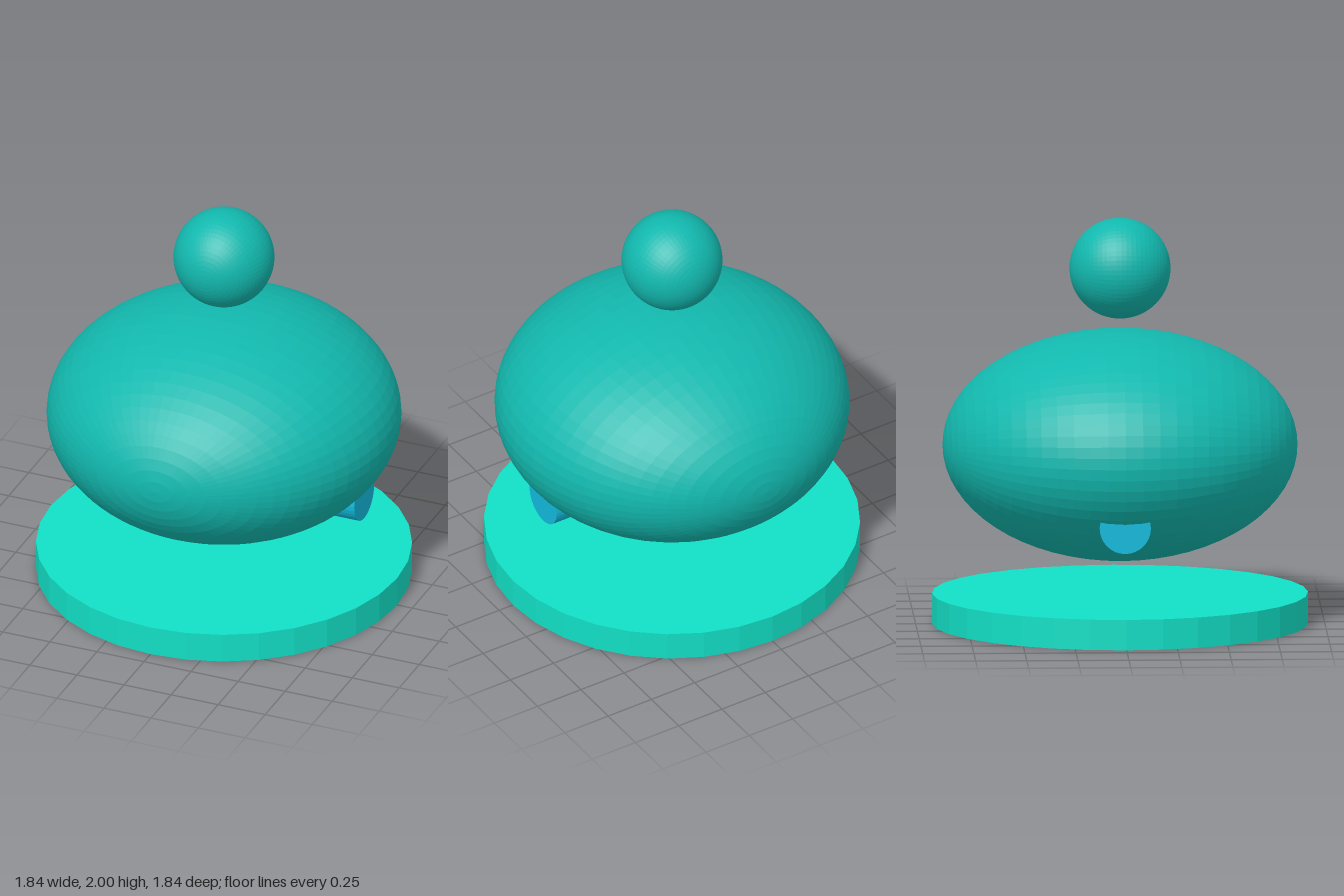
import * as THREE from 'three';

export function createModel() {
  const model = new THREE.Group();
  const flat = (name, color) => {
    const material = new THREE.MeshStandardMaterial({ color, flatShading: true });
    material.name = name;
    return material;
  };
  const teal = flat('teal', 0x12b8ae);
  const brightTeal = flat('bright teal', 0x12dfc5);
  const blue = flat('blue', 0x12bbde);

  const add = (name, geometry, material, y) => {
    const mesh = new THREE.Mesh(geometry, material);
    mesh.name = name;
    mesh.position.y = y;
    model.add(mesh);
  };

  // Ball with its poles on the z axis, squashed to the given radii
  const ball = (rx, ry, rz) => new THREE.SphereGeometry(1, 64, 32).rotateX(Math.PI / 2).scale(rx, ry, rz);

  // Flat round base
  add('base', new THREE.CylinderGeometry(0.92, 0.92, 0.15, 32), brightTeal, 0.075);
  // Wide flattened body floating over the base
  add('body', ball(0.868, 0.563, 0.868), teal, 0.882);
  // Round bar through the lower body, its ends showing on both sides
  add('crossBar', new THREE.CylinderGeometry(0.125, 0.125, 1.49, 32).rotateZ(Math.PI / 2), blue, 0.575);
  // Small ball floating on top
  add('topBall', ball(0.247, 0.247, 0.247), teal, 1.753);

  return model;
}
